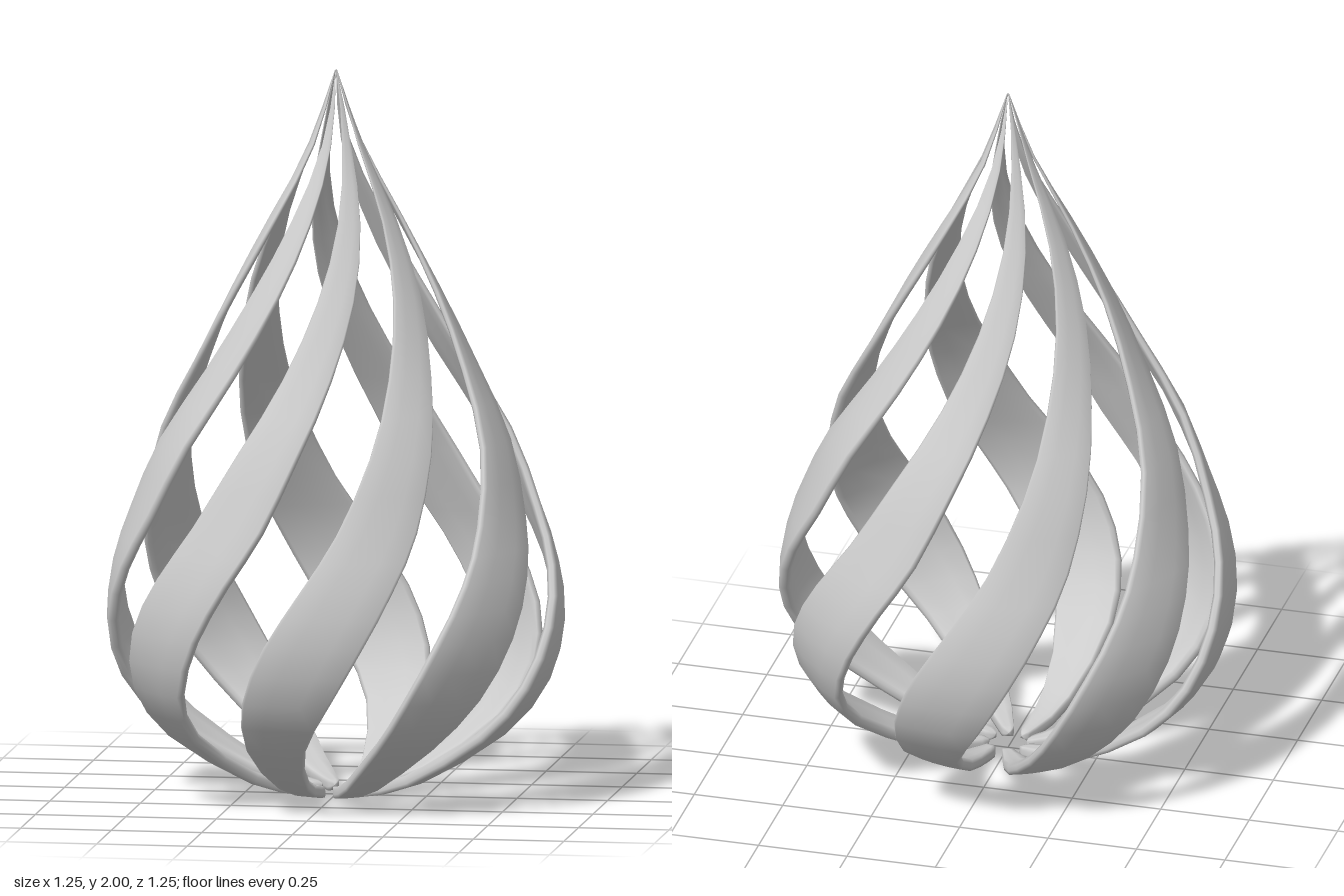
import * as THREE from 'three';

const RIBBONS = 8;
const STEPS = 26;

// Ribbon stations from base to tip: radius, height, turn (deg), half width (deg), thickness
const STATIONS = [
  [0.05, 0.005, -32, 15, 0.030],
  [0.10, 0.005, -26, 13, 0.032],
  [0.25, 0.045, -19, 11, 0.032],
  [0.47, 0.18, -12, 11, 0.032],
  [0.585, 0.325, -5, 12.5, 0.031],
  [0.625, 0.49, 3, 13, 0.030],
  [0.608, 0.65, 12, 12.5, 0.028],
  [0.56, 0.80, 21, 12, 0.026],
  [0.49, 1.00, 31, 11, 0.024],
  [0.385, 1.20, 42, 10.5, 0.020],
  [0.285, 1.40, 54, 10.5, 0.016],
  [0.18, 1.60, 66, 10.5, 0.011],
  [0.075, 1.80, 78, 10.5, 0.006],
  [0.003, 2.00, 90, 10, 0.002],
];

// Closed ribbon section: position across the width, position through the thickness
const SECTION = [
  [-0.98, -0.2], [-0.9, -0.5], [-0.35, -0.5], [0.35, -0.5], [0.9, -0.5], [0.98, -0.2],
  [0.98, 0.2], [0.9, 0.5], [0.35, 0.5], [-0.35, 0.5], [-0.9, 0.5], [-0.98, 0.2],
];

function ribbonGeometry() {
  const path = new THREE.CatmullRomCurve3(
    STATIONS.map(([r, y, turn]) => new THREE.Vector3(r, y, turn / 100)), false, 'catmullrom', 0.5);
  const size = new THREE.CatmullRomCurve3(
    STATIONS.map(([, , , width, thick]) => new THREE.Vector3(width, thick, 0)), false, 'catmullrom', 0.5);

  const positions = [];
  const indices = [];
  const n = SECTION.length;

  // One cross-section ring; taper shrinks it to round off the lower end
  const addRing = (t, taper) => {
    const p = path.getPoint(t);
    const s = size.getPoint(t);
    const a = path.getPoint(Math.max(0, t - 0.01));
    const b = path.getPoint(Math.min(1, t + 0.01));
    const slope = new THREE.Vector2(b.x - a.x, b.y - a.y).normalize();
    for (const [u, d] of SECTION) {
      const depth = s.y * (0.5 + d * taper);
      const r = Math.max(0.0005, p.x - slope.y * depth);
      const y = Math.max(0, p.y + slope.x * depth);
      const angle = THREE.MathUtils.degToRad(p.z * 100 + u * s.x * taper);
      positions.push(r * Math.sin(angle), y, r * Math.cos(angle));
    }
  };

  addRing(0, 0);
  addRing(0.004, 0.5);
  addRing(0.02, 0.85);
  for (let i = 1; i <= STEPS; i++) addRing(i / STEPS, 1);

  const rings = positions.length / 3 / n;
  for (let i = 0; i < rings - 1; i++) {
    for (let j = 0; j < n; j++) {
      const a = i * n + j;
      const b = i * n + (j + 1) % n;
      indices.push(a, b, a + n, b, b + n, a + n);
    }
  }

  const geometry = new THREE.BufferGeometry();
  geometry.setAttribute('position', new THREE.Float32BufferAttribute(positions, 3));
  geometry.setIndex(indices);
  geometry.computeVertexNormals();
  return geometry;
}

export function createModel() {
  const group = new THREE.Group();
  group.name = 'twistedDrop';
  const material = new THREE.MeshStandardMaterial({ color: 0xcccccc });
  const geometry = ribbonGeometry();

  // Identical spiral ribbons around the vertical axis
  for (let i = 0; i < RIBBONS; i++) {
    const ribbon = new THREE.Mesh(geometry, material);
    ribbon.name = `ribbon${i + 1}`;
    ribbon.rotation.y = (i / RIBBONS) * Math.PI * 2;
    group.add(ribbon);
  }
  return group;
}
